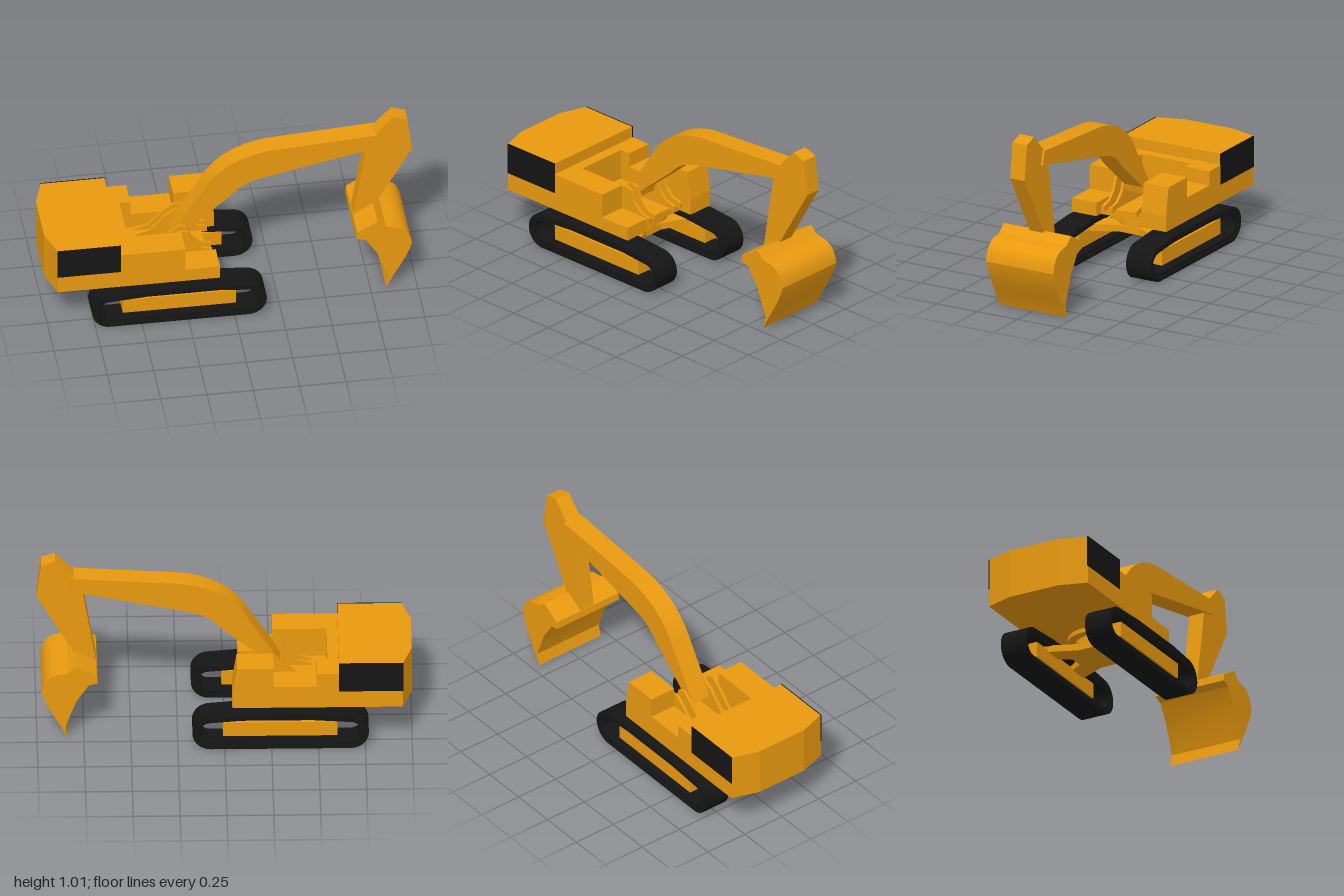
import * as THREE from 'three';
import { toCreasedNormals } from 'three/addons/utils/BufferGeometryUtils.js';

const yellow = new THREE.MeshStandardMaterial({ color: 0xe8990f });
const black = new THREE.MeshStandardMaterial({ color: 0x151515 });

const toShape = (pts) => new THREE.Shape(pts.map(([x, y]) => new THREE.Vector2(x, y)));

export function createModel() {
  const model = new THREE.Group();

  const add = (name, geometry, material = yellow) => {
    const mesh = new THREE.Mesh(geometry, material);
    mesh.name = name;
    model.add(mesh);
    return mesh;
  };

  // Box given by its limits on each axis
  const box = (name, x0, x1, y0, y1, z0, z1, material) => {
    const g = new THREE.BoxGeometry(x1 - x0, y1 - y0, z1 - z0);
    g.translate((x0 + x1) / 2, (y0 + y1) / 2, (z0 + z1) / 2);
    return add(name, g, material);
  };

  // Side outline (x, y) extruded from z0 to z1
  const side = (name, shape, z0, z1, material, crease = 0) => {
    let g = new THREE.ExtrudeGeometry(shape, { depth: z1 - z0, bevelEnabled: false, curveSegments: 10 });
    g.translate(0, 0, z0);
    if (crease) g = toCreasedNormals(g, crease);
    return add(name, g, material);
  };

  // Plan outline (x, z) extruded from y0 to y1
  const plan = (name, pts, y0, y1, material) => {
    const g = new THREE.ExtrudeGeometry(toShape(pts), { depth: y1 - y0, bevelEnabled: false });
    g.rotateX(Math.PI / 2).translate(0, y1, 0);
    return add(name, g, material);
  };

  // Engine housing with chamfered rear corners and dark side panels
  plan('engineHousing', [
    [-0.61, -0.303], [-0.61, 0.303], [-0.95, 0.303], [-1, 0.15], [-1, -0.15], [-0.95, -0.303],
  ], 0.24, 0.513);
  for (const s of [-1, 1]) {
    const z = s * 0.3025;
    box('sidePanel', -0.952, -0.608, 0.34, 0.514, z - 0.0025, z + 0.0025, black);
  }

  // Upper deck around an open well for the boom foot
  box('wellRearWall', -0.61, -0.55, 0.24, 0.45, -0.303, 0.303);
  box('wellFloor', -0.55, -0.12, 0.24, 0.28, -0.15, 0.15);
  side('leftDeck', toShape([
    [-0.55, 0.24], [-0.075, 0.24], [-0.075, 0.315], [-0.26, 0.315], [-0.26, 0.45], [-0.55, 0.45],
  ]), 0.15, 0.303);
  side('cabSide', toShape([
    [-0.55, 0.24], [-0.04, 0.24], [-0.04, 0.33], [-0.065, 0.485], [-0.26, 0.485],
    [-0.26, 0.37], [-0.49, 0.37], [-0.49, 0.45], [-0.55, 0.45],
  ]), -0.303, -0.15);

  // Boom mounting plates
  const plate = toShape([
    [-0.47, 0.27], [-0.09, 0.27], [-0.09, 0.30], [-0.15, 0.315], [-0.195, 0.36],
    [-0.22, 0.425], [-0.26, 0.435], [-0.31, 0.40], [-0.40, 0.31], [-0.47, 0.29],
  ]);
  for (const z of [-0.13, -0.08, 0.067, 0.117]) side('boomBracket', plate, z - 0.008, z + 0.008);

  // Curved boom
  const boom = new THREE.Shape();
  boom.moveTo(-0.3, 0.36);
  boom.lineTo(-0.22, 0.36);
  boom.lineTo(-0.21, 0.40);
  boom.lineTo(0.01, 0.585);
  boom.bezierCurveTo(0.07, 0.65, 0.1, 0.675, 0.22, 0.70);
  boom.lineTo(0.83, 0.83);
  boom.lineTo(0.812, 0.908);
  boom.lineTo(0.22, 0.87);
  boom.bezierCurveTo(0.02, 0.84, -0.08, 0.74, -0.14, 0.63);
  boom.lineTo(-0.26, 0.44);
  side('boom', boom, -0.058, 0.058, yellow, 0.45);

  // Stick hanging from the boom tip
  side('stick', toShape([
    [0.68, 0.37], [0.73, 0.345], [0.8, 0.44], [1, 0.79], [0.975, 0.985],
    [0.9, 1.01], [0.795, 0.9], [0.755, 0.82],
  ]), -0.045, 0.045);

  // Bucket with a rounded back and pointed lip
  const bucket = new THREE.Shape();
  bucket.moveTo(0.675, 0.345);
  bucket.lineTo(0.725, 0.33);
  bucket.lineTo(0.79, 0.23);
  bucket.lineTo(0.85, 0.07);
  bucket.lineTo(0.835, 0.002);
  bucket.bezierCurveTo(0.88, 0.1, 0.945, 0.18, 0.975, 0.285);
  bucket.bezierCurveTo(0.965, 0.345, 0.945, 0.38, 0.89, 0.397);
  bucket.lineTo(0.835, 0.405);
  bucket.lineTo(0.79, 0.447);
  bucket.lineTo(0.68, 0.385);
  side('bucket', bucket, -0.208, 0.21, yellow, 0.5);

  // Slewing ring and cross-shaped undercarriage
  const ring = new THREE.CylinderGeometry(0.17, 0.17, 0.025, 32);
  ring.translate(-0.295, 0.228, 0);
  add('slewingRing', ring);
  const hub = new THREE.CylinderGeometry(0.125, 0.125, 0.07, 32);
  hub.translate(-0.295, 0.185, 0);
  add('slewingHub', hub);
  plan('crossFrame', [
    [-0.5, -0.25], [-0.4, -0.25], [-0.33, -0.14], [-0.26, -0.14], [-0.19, -0.25], [-0.08, -0.25],
    [-0.17, -0.06], [-0.17, 0.06], [-0.08, 0.25], [-0.19, 0.25], [-0.26, 0.14], [-0.33, 0.14],
    [-0.4, 0.25], [-0.5, 0.25], [-0.42, 0.06], [-0.42, -0.06],
  ], 0.14, 0.178);

  // Track outline, inset by d: round ends and a raised middle run
  const trackPath = (d, Type) => {
    const p = new Type();
    const r = 0.098 - d;
    p.moveTo(-0.67, 0.1 - r);
    p.lineTo(0.075, 0.1 - r);
    p.absarc(0.075, 0.1, r, -Math.PI / 2, Math.PI * 0.45, false);
    p.lineTo(-0.09, 0.212 - d);
    p.lineTo(-0.47, 0.212 - d);
    p.absarc(-0.67, 0.1, r, Math.PI * 0.55, Math.PI * 1.5, false);
    return p;
  };
  const band = (outer, inner) => {
    const s = trackPath(outer, THREE.Shape);
    s.holes.push(trackPath(inner, THREE.Path));
    return s;
  };

  // Tracks and their side beams
  for (const s of [-1, 1]) {
    const z = s * 0.258;
    side('track', band(0, 0.02), z - 0.077, z + 0.077, black, 0.6);
    side('trackInnerBelt', band(0.019, 0.038), z - 0.068, z + 0.068, black, 0.6);
    box('trackBeam', -0.6, 0.01, 0.067, 0.152, z - 0.05, z + 0.05);
  }

  return model;
}
